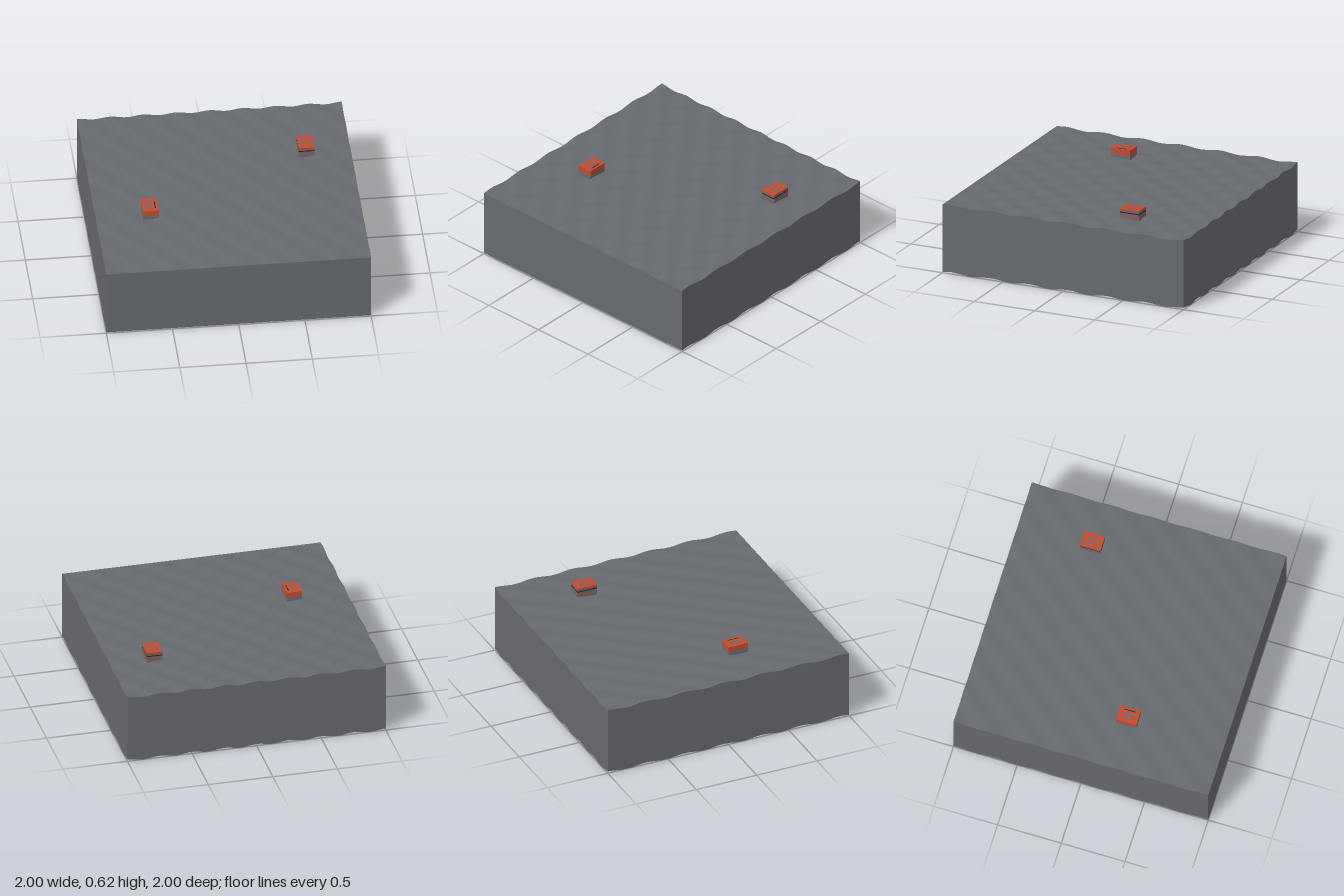
import * as THREE from 'three';

const rock = new THREE.MeshStandardMaterial({ color: 0x66696e, side: THREE.DoubleSide });
rock.name = 'slate grey';
const red = new THREE.MeshStandardMaterial({ color: 0xc24a30 });
red.name = 'rust red';
const black = new THREE.MeshStandardMaterial({ color: 0x202226 });
black.name = 'black';
const steel = new THREE.MeshStandardMaterial({ color: 0x686b70 });
steel.name = 'steel grey';

const BASE = 0.0075, HEIGHT = 0.535;

// Gentle ripple shared by the top surface and the rims of the walls
const ripple = (x, z) => 0.0075 * Math.cos(8 * Math.PI * x) * Math.sin(6.25 * Math.PI * (1 - z));

function rippled(geometry) {
  const p = geometry.attributes.position;
  for (let i = 0; i < p.count; i++) {
    p.setY(i, p.getY(i) + BASE + ripple(p.getX(i), p.getZ(i)));
  }
  geometry.computeVertexNormals();
  return geometry;
}

function add(parent, name, geometry, material) {
  const mesh = new THREE.Mesh(geometry, material);
  mesh.name = name;
  parent.add(mesh);
  return mesh;
}

function createVentBox(name, x, z, top, bands, slots) {
  const group = new THREE.Group();
  group.name = name;
  group.position.set(x, 0, z);
  // Stacked layers: [bottom, top, material]
  for (const [y0, y1, material] of bands) {
    const layer = add(group, 'layer', new THREE.BoxGeometry(0.118, y1 - y0, 0.16), material);
    layer.position.y = (y0 + y1) / 2;
  }
  // Thin slots on the lid: [x, width, material]
  for (const [sx, w, material] of slots) {
    const slot = add(group, 'lidSlot', new THREE.BoxGeometry(w, 0.002, 0.085), material);
    slot.position.set(sx, top + 0.0005, 0);
  }
  return group;
}

export function createModel() {
  const model = new THREE.Group();

  // Hollow block, open underneath
  const ground = new THREE.PlaneGeometry(2, 2, 96, 96).rotateX(-Math.PI / 2).translate(0, HEIGHT, 0);
  add(model, 'groundSurface', rippled(ground), rock);
  ['frontWall', 'leftWall', 'backWall', 'rightWall'].forEach((name, i) => {
    const wall = new THREE.PlaneGeometry(2, HEIGHT, 96, 1)
      .translate(0, HEIGHT / 2, 1)
      .rotateY(i * Math.PI / 2);
    add(model, name, rippled(wall), rock);
  });

  // Two small boxes standing on the ground
  model.add(createVentBox('backBox', 0.662, -0.42, 0.62, [
    [0.535, 0.558, steel],
    [0.558, 0.568, red],
    [0.568, 0.588, steel],
    [0.588, 0.596, black],
    [0.596, 0.608, steel],
    [0.608, 0.62, red],
  ], [[-0.022, 0.014, steel], [0.022, 0.014, steel]]));
  model.add(createVentBox('frontBox', -0.588, 0.247, 0.615, [
    [0.535, 0.572, steel],
    [0.572, 0.615, red],
  ], [[-0.022, 0.014, steel], [0.012, 0.014, steel], [0.038, 0.006, black]]));

  return model;
}
